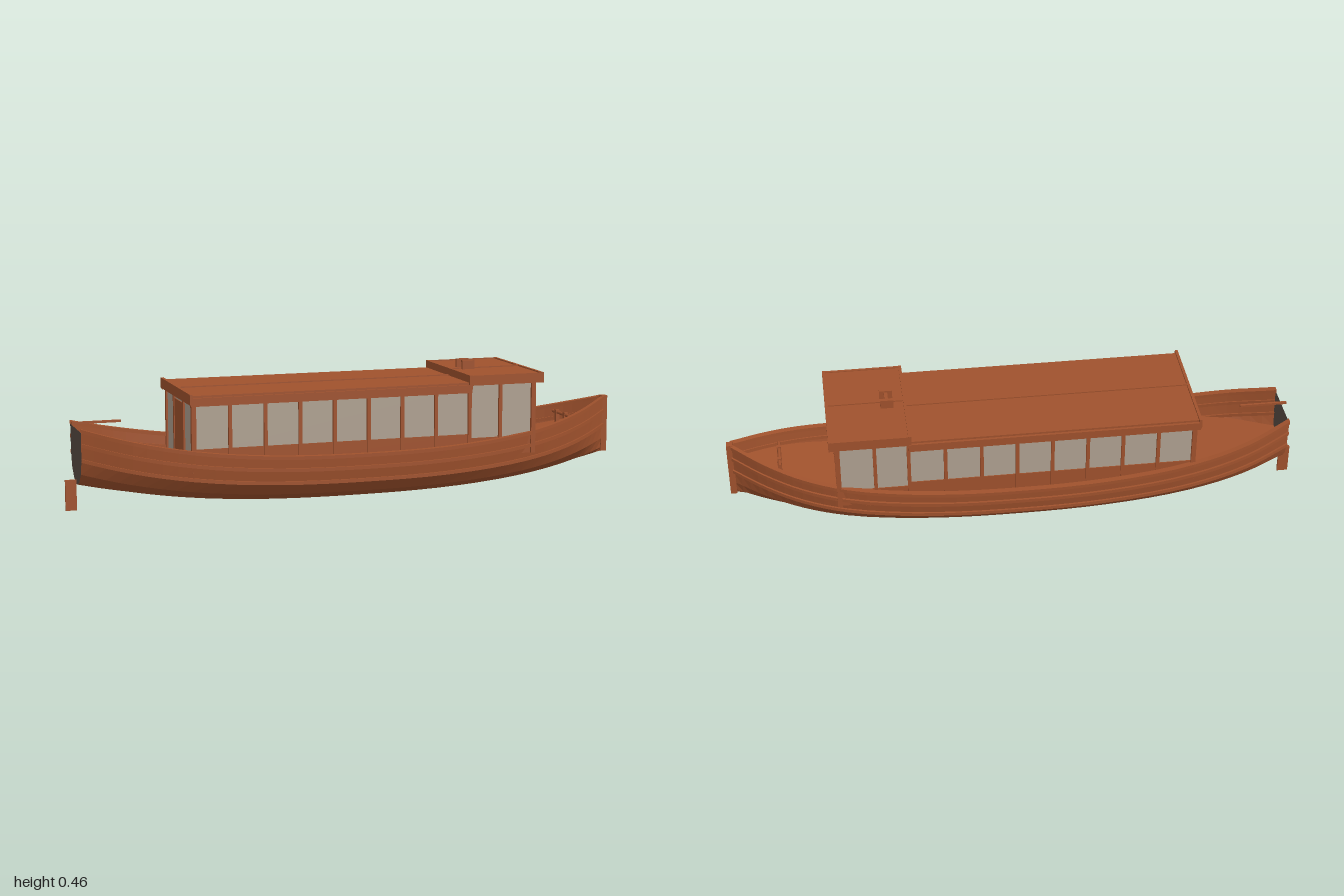
import * as THREE from 'three';

const wood = new THREE.MeshStandardMaterial({ color: 0xa0522d, side: THREE.DoubleSide });
wood.name = 'sienna wood';
const glass = new THREE.MeshStandardMaterial({ color: 0xb0a292, side: THREE.DoubleSide });
glass.name = 'window grey';
const dark = new THREE.MeshStandardMaterial({ color: 0x5a4d44, side: THREE.DoubleSide });
dark.name = 'dark transom grey';

// Hull lines: half beam along the length, sheer and keel heights
const stations = new THREE.CatmullRomCurve3([
  [-0.96, 0.1], [-0.8, 0.163], [-0.6, 0.202], [-0.3, 0.222], [0, 0.227], [0.3, 0.22],
  [0.6, 0.192], [0.75, 0.15], [0.87, 0.09], [0.985, 0.01],
].map(([x, b]) => new THREE.Vector3(x, b, 0))).getPoints(36);
const sheer = (x) => 0.168 + 0.124 * Math.pow(Math.abs(x), 2.5);
const keel = (x) => 0.098 * Math.pow(Math.abs(x), 2.6);
const WIDTH = [0, 0.46, 0.81, 0.95, 0.985, 1];
const HEIGHT = [0, 0.07, 0.25, 0.48, 0.75, 1];
const levelY = (x, h) => keel(x) + (sheer(x) - keel(x)) * h;

// Width fraction of the hull section at a height fraction
function widthAt(h) {
  for (let i = 1; i < HEIGHT.length; i++) {
    if (h <= HEIGHT[i]) {
      const t = (h - HEIGHT[i - 1]) / (HEIGHT[i] - HEIGHT[i - 1]);
      return WIDTH[i - 1] + (WIDTH[i] - WIDTH[i - 1]) * t;
    }
  }
  return 1;
}

// Skin through a list of cross-sections, with sharp edges between the strips
function loft(rows, closed = false) {
  const pos = [];
  const n = rows[0].length;
  for (let i = 0; i < rows.length - 1; i++) {
    for (let j = 0; j < (closed ? n : n - 1); j++) {
      const k = (j + 1) % n;
      const a = rows[i][j], b = rows[i + 1][j], c = rows[i + 1][k], d = rows[i][k];
      pos.push(...a, ...b, ...c, ...a, ...c, ...d);
    }
  }
  const g = new THREE.BufferGeometry();
  g.setAttribute('position', new THREE.Float32BufferAttribute(pos, 3));
  g.computeVertexNormals();
  return g;
}

export function createModel() {
  const model = new THREE.Group();
  model.name = 'canalBoat';

  function add(name, geometry, material = wood) {
    const m = new THREE.Mesh(geometry, material);
    m.name = name;
    model.add(m);
    return m;
  }
  // Box given by its limits on each axis
  function box(name, x0, x1, y0, y1, z0, z1, material = wood) {
    const m = add(name, new THREE.BoxGeometry(x1 - x0, y1 - y0, z1 - z0), material);
    m.position.set((x0 + x1) / 2, (y0 + y1) / 2, (z0 + z1) / 2);
    return m;
  }

  // Hull shell and rubbing rails, both sides
  for (const s of [1, -1]) {
    add('hullSide', loft(stations.map(({ x, y: b }) =>
      WIDTH.map((w, i) => [x, levelY(x, HEIGHT[i]), s * b * w]))));
    for (const h of [0.48, 0.75, 1]) {
      add(h === 1 ? 'gunwale' : 'rubbingRail', loft(stations.map(({ x, y: b }) => {
        const y = levelY(x, h), z = b * widthAt(h);
        const inner = Math.max(z - (h === 1 ? 0.012 : 0.004), 0), outer = z + 0.009;
        return [[x, y, s * inner], [x, y, s * outer], [x, y + 0.012, s * outer], [x, y + 0.012, s * inner]];
      }), true));
    }
  }

  // Stem post and flat transom
  box('stemPost', 0.978, 1, 0.095, 0.3, -0.013, 0.013);
  const t = stations[0];
  add('transom', loft(HEIGHT.map((h, i) =>
    [-1, 1].map((s) => [t.x, levelY(t.x, h), s * t.y * WIDTH[i]]))), dark);

  // Floor, rising into a foredeck at the bow
  add('floor', loft(stations.map(({ x, y: b }) => {
    const y = x > 0.6 ? 0.14 + (x - 0.6) * 0.24 : 0.14;
    const h = (y - keel(x)) / (sheer(x) - keel(x));
    return [-1, 1].map((s) => [x, y, s * b * widthAt(h)]);
  })));

  // Cabin sides: glazing, lower panels, posts and head rails
  const posts = [-0.6, -0.475, -0.352, -0.23, -0.108, 0.014, 0.136, 0.26, 0.385, 0.5, 0.625];
  for (const s of [1, -1]) {
    const side = (name, x0, x1, y0, y1, inner, outer, mat) =>
      box(name, x0, x1, y0, y1, Math.min(s * inner, s * outer), Math.max(s * inner, s * outer), mat);
    side('saloonGlass', -0.6, 0.385, 0.2, 0.385, 0.183, 0.186, glass);
    side('wheelhouseGlass', 0.385, 0.625, 0.19, 0.4, 0.183, 0.186, glass);
    side('saloonLowerPanel', -0.6, 0.385, 0.14, 0.218, 0.182, 0.189);
    side('wheelhouseLowerPanel', 0.385, 0.625, 0.14, 0.203, 0.182, 0.189);
    posts.forEach((x, i) => side('windowPost', x - 0.006, x + 0.006, 0.14, i > 7 ? 0.4 : 0.385, 0.18, 0.195));
    side('saloonFascia', -0.615, 0.385, 0.367, 0.395, 0.207, 0.217);
    side('wheelhouseFascia', 0.375, 0.653, 0.392, 0.427, 0.207, 0.216);
  }

  // Cabin ends: centre door between two windows
  for (const [x, top] of [[-0.6, 0.385], [0.625, 0.4]]) {
    box('endGlass', x - 0.0015, x + 0.0015, 0.15, top, -0.185, 0.185, glass);
    box('door', x - 0.005, x + 0.005, 0.14, top - 0.028, -0.062, 0.062);
    for (const s of [1, -1]) {
      box('doorPost', x - 0.008, x + 0.008, 0.14, top, s * 0.068 - 0.007, s * 0.068 + 0.007);
      box('cornerPost', x - 0.008, x + 0.008, 0.14, top, s * 0.188 - 0.008, s * 0.188 + 0.008);
    }
  }

  // Roofs with end boards and centre battens
  box('saloonRoof', -0.612, 0.385, 0.385, 0.402, -0.208, 0.208);
  box('wheelhouseRoof', 0.38, 0.645, 0.4, 0.424, -0.208, 0.208);
  box('aftRoofBoard', -0.618, -0.608, 0.372, 0.408, -0.217, 0.217);
  box('stepBoard', 0.375, 0.385, 0.39, 0.428, -0.216, 0.216);
  box('foreRoofBoard', 0.643, 0.653, 0.391, 0.428, -0.216, 0.216);
  box('saloonBatten', -0.612, 0.38, 0.402, 0.406, 0.002, 0.014);
  box('wheelhouseBatten', 0.38, 0.645, 0.424, 0.428, 0.002, 0.014);

  // Roof bracket
  for (const s of [1, -1]) {
    box('bracketUpright', 0.42, 0.465, 0.424, 0.455, s * 0.029 - 0.004, s * 0.029 + 0.004);
  }
  box('bracketBar', 0.437, 0.449, 0.443, 0.45, -0.027, 0.027);

  // Foredeck mooring bitts
  for (const s of [1, -1]) box('bittPost', 0.815, 0.829, 0.18, 0.25, s * 0.035 - 0.007, s * 0.035 + 0.007);
  const bar = add('bittBar', new THREE.CylinderGeometry(0.006, 0.006, 0.14, 8));
  bar.rotation.x = Math.PI / 2;
  bar.position.set(0.822, 0.24, 0);

  // Rudder and tiller
  box('rudder', -1, -0.962, 0, 0.105, -0.004, 0.004);
  box('tiller', -0.972, -0.805, 0.294, 0.302, -0.004, 0.004);
  return model;
}
